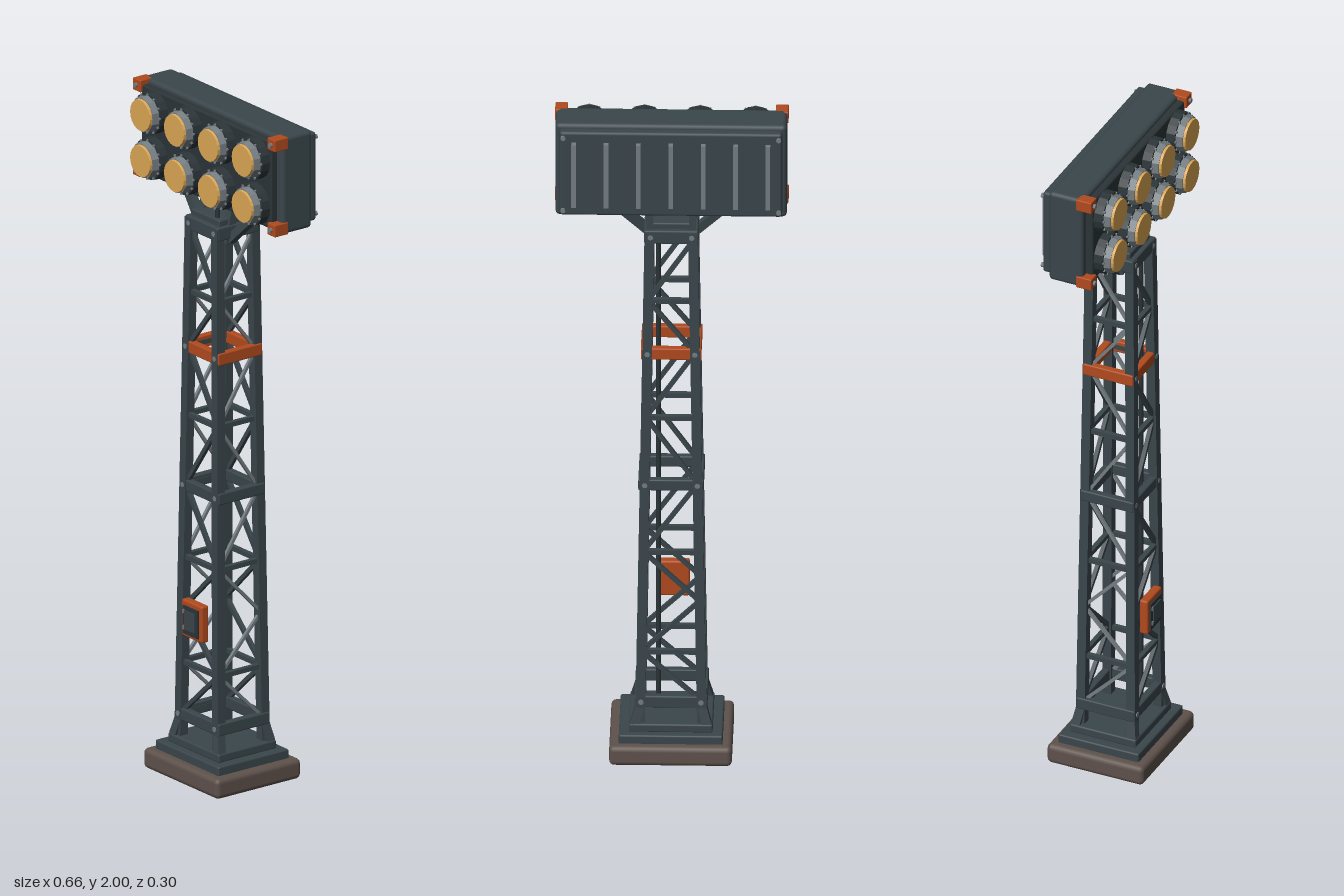
import * as THREE from 'three';
import { RoundedBoxGeometry } from 'three/addons/geometries/RoundedBoxGeometry.js';

const mat = (name, color, flatShading = false) => {
  const m = new THREE.MeshStandardMaterial({ color });
  m.name = name;
  m.flatShading = flatShading;
  return m;
};

export function createModel() {
  const steel = mat('slate steel', 0x3a464b);
  const dark = mat('dark steel', 0x2b3437);
  const grey = mat('bare metal', 0x747d82);
  const orange = mat('safety orange', 0xb04a1e);
  const amber = mat('amber lens', 0xdba654);
  const stone = mat('footing brown', 0x5e514b);

  const model = new THREE.Group();
  model.name = 'floodlightTower';
  const group = (name) => {
    const g = new THREE.Group();
    g.name = name;
    model.add(g);
    return g;
  };
  const add = (parent, name, geo, material, x = 0, y = 0, z = 0) => {
    const m = new THREE.Mesh(geo, material);
    m.name = name;
    m.position.set(x, y, z);
    parent.add(m);
    return m;
  };
  const box = (parent, name, material, w, h, d, x, y, z, r = 0) =>
    add(parent, name, r ? new RoundedBoxGeometry(w, h, d, 2, r) : new THREE.BoxGeometry(w, h, d), material, x, y, z);
  const UP = new THREE.Vector3(0, 1, 0);
  // square bar running from a to b
  const bar = (parent, name, material, a, b, w, d = w) => {
    const p = new THREE.Vector3(...a), q = new THREE.Vector3(...b);
    const dir = q.clone().sub(p);
    const m = box(parent, name, material, w, dir.length(), d, 0, 0, 0);
    m.position.copy(p).add(q).multiplyScalar(0.5);
    m.quaternion.setFromUnitVectors(UP, dir.normalize());
    return m;
  };
  // disc or drum facing the front
  const drum = (parent, name, material, r0, r1, h, x, y, z, sides = 12) => {
    const m = add(parent, name, new THREE.CylinderGeometry(r1, r0, h, sides).toNonIndexed(), material, x, y, z);
    m.geometry.computeVertexNormals();
    m.rotation.x = Math.PI / 2;
    return m;
  };

  // Stepped footing
  const base = group('base');
  box(base, 'footing', stone, 0.345, 0.056, 0.3, 0, 0.03, 0, 0.014).scale.y = 0.06 / 0.056;
  box(base, 'lowerPlinth', steel, 0.292, 0.03, 0.25, 0, 0.071, 0, 0.005);
  box(base, 'upperPlinth', steel, 0.235, 0.026, 0.205, 0, 0.097, 0, 0.005);

  // Tapering lattice mast: leg centre lines at height y
  const mast = group('mast');
  const Y0 = 0.1, Y1 = 1.66;
  const legX = (y) => 0.087 - 0.026 * (y - Y0) / (Y1 - Y0);
  const legZ = (y) => 0.079 - 0.017 * (y - Y0) / (Y1 - Y0);
  for (const sx of [-1, 1]) for (const sz of [-1, 1]) {
    const at = (y) => [sx * legX(y), y, sz * legZ(y)];
    bar(mast, 'leg', steel, at(Y0), at(Y1), 0.027);
    bar(mast, 'footGusset', steel, [sx * 0.102, 0.105, sz * 0.088], [sx * 0.087, 0.16, sz * 0.078], 0.026);
  }

  // Horizontal and zigzag bracing on all four sides
  const levels = [0.175, 0.33, 0.49, 0.645, 0.86, 1.07, 1.275, 1.44, 1.63];
  levels.forEach((y, i) => {
    for (const s of [-1, 1]) {
      const x = legX(y), z = legZ(y);
      if (i !== 2) {
        bar(mast, 'crossBar', steel, [-x, y, s * z], [x, y, s * z], 0.014);
        bar(mast, 'crossBar', steel, [s * x, y, -z], [s * x, y, z], 0.014);
      }
      if (i === levels.length - 1) continue;
      const v = levels[i + 1], k = i % 2 ? 1 : -1;
      bar(mast, 'diagonalBrace', steel, [k * x, y, s * z], [-k * legX(v), v, s * legZ(v)], 0.012);
      bar(mast, 'diagonalBrace', grey, [s * x, y, k * z], [s * legX(v), v, -k * legZ(v)], 0.009);
    }
  });
  // Cable conduit up the inside
  add(mast, 'conduit', new THREE.CylinderGeometry(0.007, 0.007, 1.59, 8), dark, 0.038, 0.915, 0.045);

  // Clamping collars with bolts
  const collar = (name, material, y, h, w, d) => {
    const g = group(name);
    const t = 0.022;
    for (const s of [-1, 1]) {
      box(g, 'collarBar', material, w, h, t, 0, y, s * (d - t) / 2, 0.004);
      box(g, 'collarBar', material, t, h, d - 0.004, s * (w - t) / 2, y, 0, 0.004);
      for (const k of [-1, 1]) {
        drum(g, 'bolt', grey, 0.008, 0.008, 0.006, s * (w / 2 - 0.018), y, k * d / 2, 8);
      }
    }
  };
  collar('lowerCollar', steel, 0.175, 0.036, 0.205, 0.182);
  collar('middleCollar', steel, 0.86, 0.034, 0.184, 0.164);
  collar('orangeCollar', orange, 1.275, 0.036, 0.17, 0.156);
  collar('topCollar', steel, 1.645, 0.04, 0.152, 0.148);

  // Control box on the front of the mast
  const control = group('controlBox');
  box(control, 'boxBody', orange, 0.094, 0.11, 0.026, -0.002, 0.477, 0.094, 0.006);
  box(control, 'boxDoor', dark, 0.068, 0.084, 0.008, -0.002, 0.475, 0.108);
  box(control, 'doorPanel', steel, 0.046, 0.056, 0.005, -0.002, 0.477, 0.113);
  for (const s of [-1, 1]) box(control, 'doorHinge', grey, 0.006, 0.012, 0.005, -0.03, 0.477 + s * 0.024, 0.113);

  // Bracket carrying the lamp head
  const bracket = group('bracket');
  box(bracket, 'capPlate', steel, 0.13, 0.022, 0.12, 0, 1.672, 0, 0.004);
  for (const s of [-1, 1]) {
    bar(bracket, 'spreaderArm', steel, [s * 0.06, 1.615, 0.02], [s * 0.17, 1.725, 0], 0.024);
    bar(bracket, 'rearArm', steel, [s * 0.06, 1.63, -0.055], [s * 0.06, 1.73, -0.052], 0.02);
    bar(bracket, 'frontArm', steel, [s * 0.06, 1.61, 0.03], [s * 0.06, 1.73, 0.005], 0.024);
  }

  // Lamp head casing
  const head = group('lampHead');
  const HY = 1.855;
  box(head, 'casing', steel, 0.65, 0.29, 0.106, 0, HY, -0.017, 0.012);
  box(head, 'facePlate', dark, 0.6, 0.262, 0.03, 0, HY, 0.042, 0.006);
  box(head, 'backPlate', steel, 0.625, 0.264, 0.034, 0, HY, -0.077, 0.008);
  for (let i = -3; i <= 3; i++) box(head, 'coolingFin', grey, 0.013, 0.2, 0.018, i * 0.091, HY, -0.101);
  for (const sx of [-1, 1]) for (const sy of [-1, 1]) {
    box(head, 'cornerGuard', orange, 0.036, 0.036, 0.048, sx * 0.31, HY + sy * 0.127, 0.041, 0.003);
    drum(head, 'cornerBolt', grey, 0.007, 0.007, 0.008, sx * 0.311, HY + sy * 0.127, 0.068, 8);
    drum(head, 'rearBolt', grey, 0.007, 0.007, 0.01, sx * 0.303, HY + sy * 0.115, -0.096, 8);
  }

  // Two rows of four floodlights
  for (const y of [1.786, 1.923]) for (const x of [-0.234, -0.078, 0.078, 0.234]) {
    const lamp = new THREE.Group();
    lamp.name = 'floodlight';
    lamp.position.set(x, y, 0);
    head.add(lamp);
    drum(lamp, 'lampHousing', dark, 0.062, 0.06, 0.03, 0, 0, 0.069, 16);
    drum(lamp, 'lampRim', grey, 0.055, 0.051, 0.02, 0, 0, 0.094, 10);
    drum(lamp, 'lens', amber, 0.048, 0.046, 0.009, 0, 0, 0.1065, 20);
    for (let i = 0; i < 12; i++) {
      const a = (i / 12) * Math.PI * 2;
      drum(lamp, 'rimBolt', grey, 0.004, 0.004, 0.005, Math.cos(a) * 0.0565, Math.sin(a) * 0.0565, 0.085, 6);
    }
  }
  return model;
}
